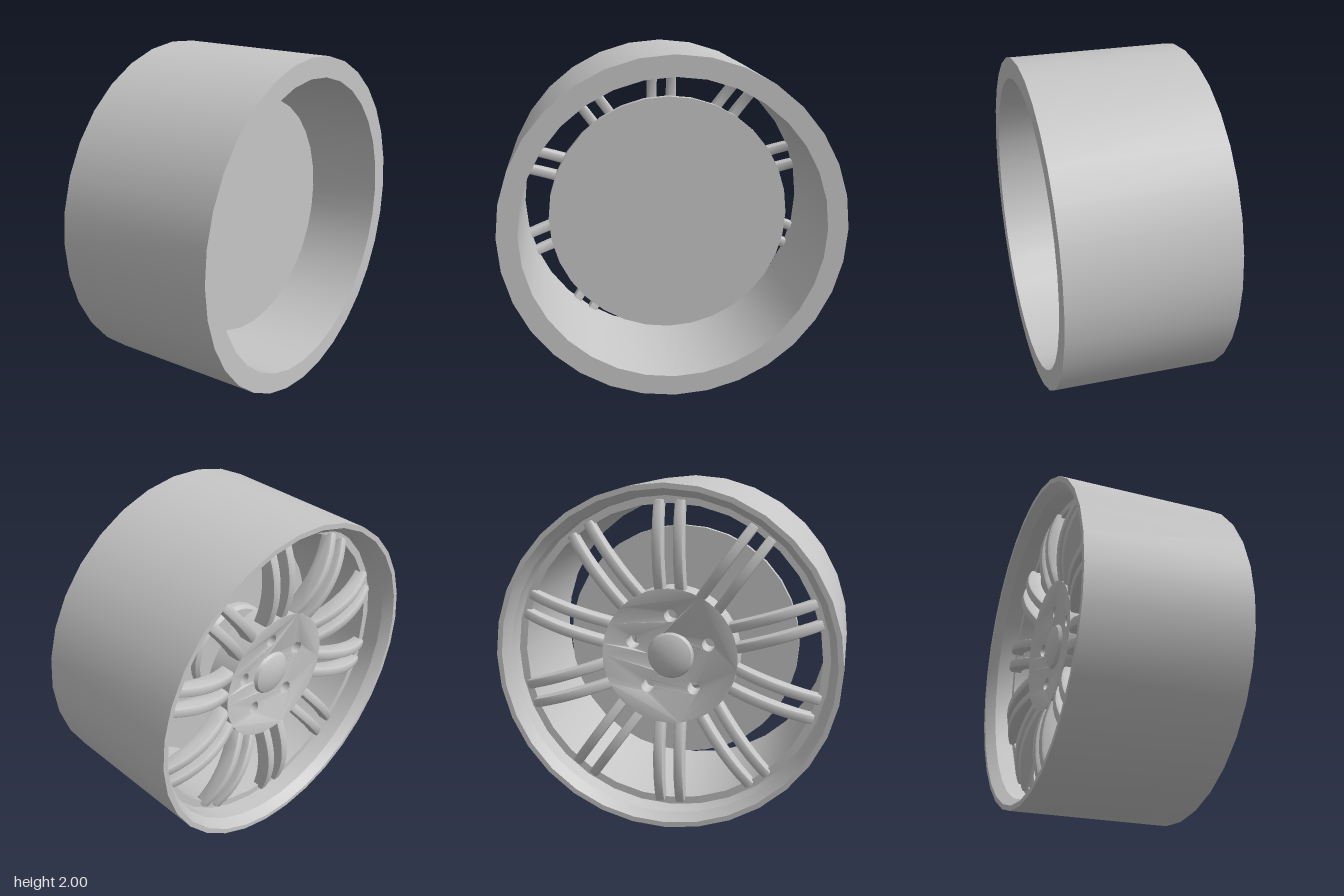
import * as THREE from 'three';
import { toCreasedNormals } from 'three/addons/utils/BufferGeometryUtils.js';

const metal = new THREE.MeshStandardMaterial({ color: 0xc6c6c6 });
metal.name = 'grey metal';

function part(name, geometry, crease = 0.5) {
  const mesh = new THREE.Mesh(toCreasedNormals(geometry, crease), metal);
  mesh.name = name;
  return mesh;
}

// Turned part about the x axis, from [x, radius] points
function turned(name, points, sides = 32) {
  const geo = new THREE.LatheGeometry(points.map(([x, r]) => new THREE.Vector2(r, x)), sides);
  geo.rotateZ(-Math.PI / 2);
  return part(name, geo);
}

// Hub plate with five bolt holes and a gently dished face
function hubGeometry() {
  const shape = new THREE.Shape().absarc(0, 0, 0.4, 0, Math.PI * 2);
  const hole = (x, y, r) => shape.holes.push(new THREE.Path().absarc(x, y, r, 0, Math.PI * 2, true));
  hole(0, 0, 0.12);
  for (let i = 0; i < 5; i++) {
    const a = Math.PI / 2 + (i * Math.PI * 2) / 5;
    hole(Math.cos(a) * 0.235, Math.sin(a) * 0.235, 0.038);
  }
  const geo = new THREE.ExtrudeGeometry(shape, { depth: 0.12, bevelEnabled: false, curveSegments: 20 });
  const p = geo.attributes.position;
  for (let i = 0; i < p.count; i++) {
    if (p.getZ(i) < 0.06) continue;
    const t = Math.max(0, (Math.hypot(p.getX(i), p.getY(i)) - 0.13) / 0.27);
    p.setZ(i, p.getZ(i) + 0.045 * t * t);
  }
  geo.rotateY(-Math.PI / 2);
  geo.translate(-0.19, 0, 0);
  return geo;
}

// One bowed spoke bar with bevelled edges, pointing up from the hub
function spokeGeometry() {
  const shape = new THREE.Shape();
  shape.moveTo(0.36, 0.24);
  shape.quadraticCurveTo(0.64, 0.36, 0.9, 0.265);
  shape.lineTo(0.9, 0.345);
  shape.quadraticCurveTo(0.64, 0.47, 0.36, 0.34);
  const geo = new THREE.ExtrudeGeometry(shape, {
    depth: 0.034, curveSegments: 10,
    bevelThickness: 0.012, bevelSize: 0.014, bevelOffset: -0.014, bevelSegments: 2,
  });
  geo.translate(0, 0, -0.017);
  geo.rotateZ(Math.PI / 2);
  return geo;
}

export function createModel() {
  const model = new THREE.Group();
  const wheel = new THREE.Group();
  wheel.name = 'wheel';
  wheel.position.y = 1;
  model.add(wheel);

  // Rim barrel with a sloped lip and an inner step on the spoke side
  wheel.add(turned('rim', [
    [-0.49, 0.97], [-0.49, 1], [0.49, 1], [0.49, 0.88],
    [-0.32, 0.88], [-0.32, 0.925], [-0.43, 0.93], [-0.49, 0.97],
  ]));

  // Brake disc and its raised centre
  wheel.add(turned('brakeDisc', [[0.06, 0], [0.06, 0.72], [0.11, 0.72], [0.11, 0]]));
  wheel.add(turned('brakeHat', [[0, 0], [0, 0.28], [0.02, 0.3], [0.06, 0.3]]));

  // Hub and domed centre cap
  wheel.add(part('hub', hubGeometry()));
  wheel.add(turned('centreCap', [
    [-0.355, 0], [-0.352, 0.05], [-0.343, 0.095], [-0.33, 0.125], [-0.308, 0.14], [-0.2, 0.14], [-0.2, 0],
  ]));

  // Ten pairs of spokes
  const bar = spokeGeometry();
  for (let i = 0; i < 10; i++) {
    const pair = new THREE.Group();
    pair.name = 'spokePair' + (i + 1);
    pair.rotation.x = (i * Math.PI) / 5;
    for (const side of [-1, 1]) {
      const spoke = part('spoke', bar, 0.6);
      spoke.position.z = side * 0.061;
      pair.add(spoke);
    }
    wheel.add(pair);
  }
  return model;
}
